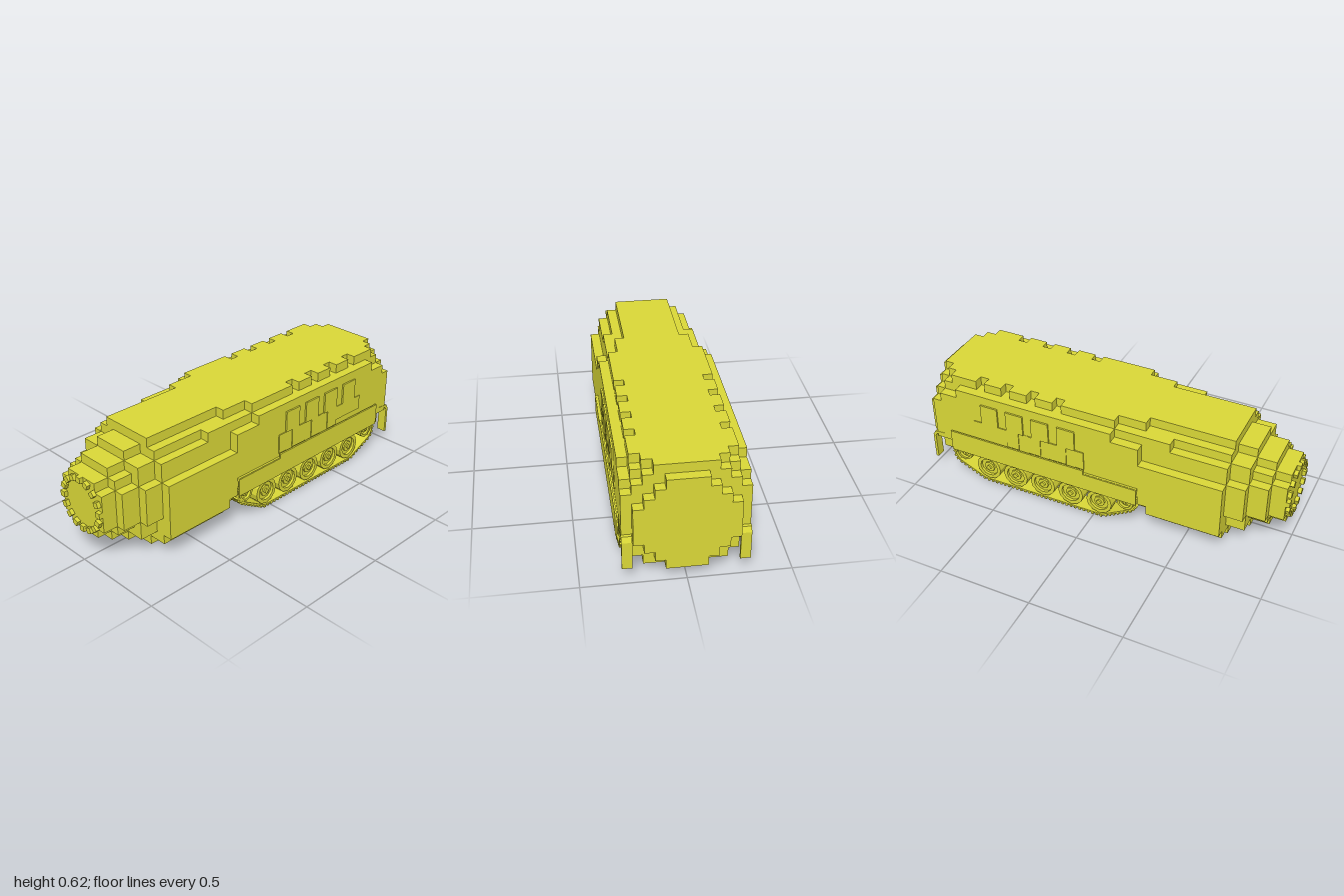
import * as THREE from 'three';

export function createModel() {
  const model = new THREE.Group();
  const olive = new THREE.MeshStandardMaterial({ color: 0xd9d737 });
  olive.name = 'olive yellow';

  const group = (name, parent = model) => {
    const g = new THREE.Group();
    g.name = name;
    parent.add(g);
    return g;
  };
  const add = (parent, name, geo) => {
    const m = new THREE.Mesh(geo, olive);
    m.name = name;
    parent.add(m);
    return m;
  };
  // Box given by its limits on each axis
  const block = (parent, name, x0, x1, y0, y1, z0, z1) => {
    const m = add(parent, name, new THREE.BoxGeometry(x1 - x0, y1 - y0, z1 - z0));
    m.position.set((x0 + x1) / 2, (y0 + y1) / 2, (z0 + z1) / 2);
    return m;
  };
  // Box centred across the hull with half width w
  const layer = (parent, name, x0, x1, y0, y1, w) => block(parent, name, x0, x1, y0, y1, -w, w);

  // Main hull with stepped shoulders and keel: [x0, x1, y0, y1, half width]
  const hull = group('hull');
  [
    [-0.7, -0.3, 0.067, 0.117, 0.25],
    [-0.7, -0.3, 0.117, 0.217, 0.3],
    [-0.3, 0.95, 0.067, 0.217, 0.2],
    [-0.3, -0.25, 0.167, 0.217, 0.3],
    [0.9, 0.95, 0.117, 0.217, 0.25],
    [-0.7, 0.95, 0.217, 0.417, 0.3],
    [-0.7, -0.25, 0.417, 0.467, 0.25],
    [-0.25, 0.95, 0.417, 0.467, 0.3],
    [-0.7, -0.25, 0.467, 0.517, 0.25],
    [-0.25, 0.9, 0.467, 0.517, 0.3],
    [0.9, 0.95, 0.467, 0.517, 0.25],
    [-0.7, -0.4, 0.517, 0.567, 0.2],
    [-0.4, -0.1, 0.517, 0.567, 0.25],
    [-0.1, 0.8, 0.517, 0.567, 0.3],
    [0.8, 0.9, 0.517, 0.567, 0.25],
    [0.9, 0.95, 0.517, 0.567, 0.2],
  ].forEach((l) => layer(hull, 'hullLayer', ...l));

  // Roof with notched edges
  const roof = group('roof');
  [
    [-0.7, -0.25, 0.15], [-0.25, -0.1, 0.2], [-0.1, 0.2, 0.25], [0.2, 0.85, 0.2],
    [0.25, 0.35, 0.25], [0.4, 0.5, 0.25], [0.55, 0.65, 0.25], [0.7, 0.85, 0.25],
    [0.85, 0.9, 0.2], [0.9, 0.95, 0.15],
  ].forEach(([x0, x1, w]) => layer(roof, 'roofLayer', x0, x1, 0.567, 0.617, w));

  // Belly plate, stepping up towards the tracks
  const belly = group('belly');
  layer(belly, 'bellyPlate', -0.7, -0.35, 0.017, 0.067, 0.15);
  layer(belly, 'bellyStep', -0.35, -0.3, 0.034, 0.067, 0.15);
  layer(belly, 'bellyStep', -0.3, -0.25, 0.051, 0.067, 0.15);

  // Stepped round end caps: each step is [half height, half width]
  const cap = (name, x0, x1, steps) => {
    const g = group(name);
    steps.forEach(([h, w]) => layer(g, 'capLayer', x0, x1, 0.317 - h, 0.317 + h, w));
  };
  cap('noseBase', -0.8, -0.7, [[0.1, 0.25], [0.2, 0.2], [0.25, 0.1]]);
  cap('noseMiddle', -0.9, -0.8, [[0.1, 0.2], [0.15, 0.15], [0.2, 0.1]]);
  cap('noseTip', -0.98, -0.9, [[0.1, 0.15], [0.15, 0.1]]);
  cap('rearPlate', 0.95, 1, [[0.1, 0.25], [0.15, 0.2], [0.2, 0.15], [0.25, 0.1]]);

  // Toothed ring on the nose
  const teeth = group('noseTeeth');
  for (let i = 0; i < 16; i++) {
    const a = (i / 16) * Math.PI * 2;
    const t = add(teeth, 'tooth', new THREE.BoxGeometry(0.02, 0.03, 0.03));
    t.position.set(-0.99, 0.317 + Math.sin(a) * 0.135, Math.cos(a) * 0.135);
    t.rotation.x = -a + Math.PI / 2;
  }

  // Track outline, from the front idler along the ground and back over the top
  const path = [
    [-0.24, 0.15], [-0.215, 0.11], [-0.05, 0.014], [0.665, 0.014], [0.83, 0.09], [0.85, 0.13],
    [0.835, 0.18], [0.79, 0.195], [-0.18, 0.195], [-0.225, 0.185],
  ].map(([x, y]) => new THREE.Vector2(x, y));

  const wheel = (parent, name, x, y, r, s) => {
    const g = group(name, parent);
    g.position.set(x, y, 0);
    const disc = (part, rad, depth, z, sides) => {
      const m = add(g, part, new THREE.CylinderGeometry(rad, rad, depth, sides).toNonIndexed());
      m.geometry.computeVertexNormals();
      m.rotation.x = Math.PI / 2;
      m.position.z = s * z;
    };
    disc('wheelDisc', r * 0.8, 0.06, 0.25, 12);
    const rim = new THREE.Shape().absarc(0, 0, r, 0, Math.PI * 2);
    rim.holes.push(new THREE.Path().absarc(0, 0, r * 0.72, 0, Math.PI * 2, true));
    const tyre = add(g, 'tyre', new THREE.ExtrudeGeometry(rim,
      { depth: 0.09, bevelEnabled: false, curveSegments: 6 }));
    tyre.position.z = s * 0.25 - 0.045;
    disc('hub', r * 0.42, 0.03, 0.275, 8);
    disc('hubCap', r * 0.22, 0.02, 0.289, 4);
  };

  for (const s of [1, -1]) {
    const side = group(s > 0 ? 'frontSide' : 'backSide');
    const plate = (name, x0, x1, y0, y1, out, inner = 0.295) =>
      block(side, name, x0, x1, y0, y1, s > 0 ? inner : -out, s > 0 ? out : -inner);

    // Skirt above the track and the ledge behind it
    plate('skirt', -0.25, 0.85, 0.17, 0.268, 0.317, 0.308);
    plate('upperSkirt', 0.05, 0.85, 0.268, 0.293, 0.317, 0.308);
    plate('fenderLedge', -0.25, 0.85, 0.255, 0.27, 0.312);

    // Raised side panels
    for (let i = 0; i < 4; i++) {
      plate('upperPanel', 0.1 + i * 0.15, 0.2 + i * 0.15, 0.4, 0.517, 0.309);
    }
    [0.05, 0.1, 0.15, 0.25, 0.3, 0.37, 0.43].forEach((x, i, a) =>
      plate('lowerPanel', x, a[i + 1] ?? 0.5, 0.293, 0.4, i % 2 ? 0.302 : 0.306));
    plate('locker', 0.5, 0.7, 0.32, 0.4, 0.305);

    // Rear mudguard
    const guard = new THREE.Shape([
      [0.85, 0.29], [0.9, 0.25], [0.965, 0.245], [0.98, 0.22], [0.98, 0.07], [0.965, 0.07],
      [0.965, 0.215], [0.955, 0.23], [0.895, 0.235], [0.85, 0.27],
    ].map(([x, y]) => new THREE.Vector2(x, y)).reverse());
    const g = add(side, 'mudguard', new THREE.ExtrudeGeometry(guard, { depth: 0.05, bevelEnabled: false }));
    g.position.z = s > 0 ? 0.252 : -0.302;

    // Track links with alternating pads
    const track = group('track', side);
    path.forEach((p, i) => {
      const q = path[(i + 1) % path.length];
      const len = p.distanceTo(q);
      const n = Math.max(1, Math.round(len / 0.026));
      const angle = Math.atan2(q.y - p.y, q.x - p.x);
      const out = new THREE.Vector2(Math.sin(angle), -Math.cos(angle));
      const along = q.clone().sub(p).normalize();
      for (let k = 0; k < n; k++) {
        const c = p.clone().lerp(q, (k + 0.5) / n);
        const link = add(track, 'link', new THREE.BoxGeometry(len / n + 0.002, 0.009, 0.098));
        link.position.set(c.x, c.y, s * 0.25);
        link.rotation.z = angle;
        for (let j = 0; j < 3; j++) {
          const pad = add(track, 'pad', new THREE.BoxGeometry(0.012, 0.01, 0.033));
          const d = c.clone().addScaledVector(out, 0.009).addScaledVector(along, j === 1 ? 0.006 : -0.005);
          pad.position.set(d.x, d.y, s * (0.217 + j * 0.033));
          pad.rotation.z = angle;
        }
      }
    });

    // Road wheels, front idler and rear sprocket
    for (let i = 0; i < 5; i++) wheel(side, 'roadWheel', -0.03 + i * 0.1675, 0.095, 0.073, s);
    wheel(side, 'idler', -0.18, 0.147, 0.046, s);
    wheel(side, 'sprocket', 0.79, 0.147, 0.046, s);
  }
  return model;
}
